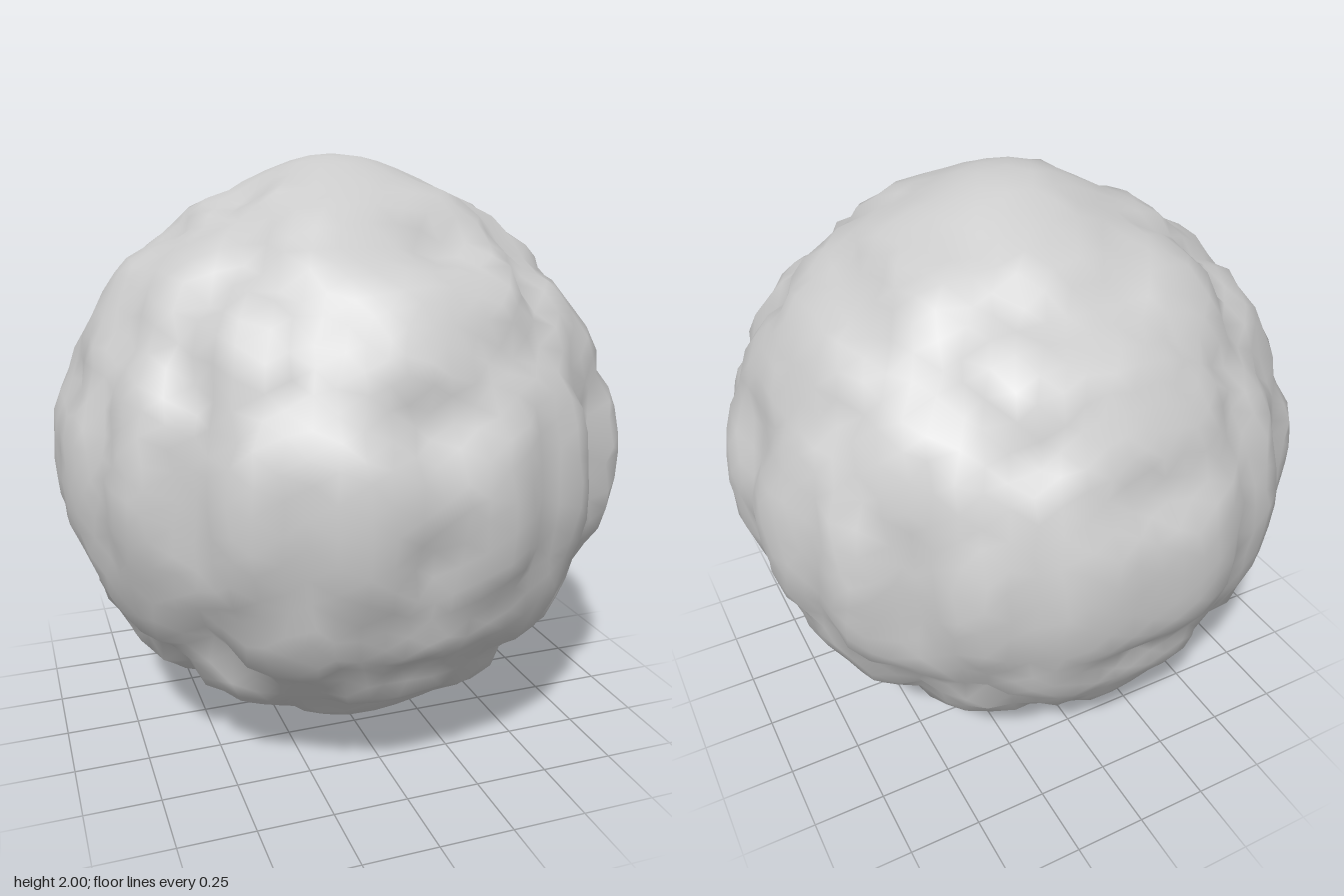
import * as THREE from 'three';
import { mergeVertices } from 'three/addons/utils/BufferGeometryUtils.js';

// quarter outlines, mirrored into all quadrants: [across, along]
const uprightOutline = [
  [0.97, 0], [0.97, 0.15], [0.92, 0.23], [0.86, 0.29], [0.86, 0.42], [0.78, 0.56],
  [0.72, 0.66], [0.52, 0.75], [0.47, 0.84], [0.3, 0.915], [0.07, 0.995], [0, 1],
];
const levelOutline = [
  [0.93, 0], [0.97, 0.17], [0.93, 0.32], [0.87, 0.38], [0.85, 0.53], [0.79, 0.6], [0.66, 0.61],
  [0.62, 0.68], [0.56, 0.82], [0.36, 0.87], [0.28, 0.95], [0.12, 0.97], [0, 0.95],
];

// radius where the ray towards (a, b) meets a quarter outline
function outlineRadius(outline, a, b) {
  const length = Math.hypot(a, b) || 1;
  const c = Math.abs(a) / length, s = Math.abs(b) / length;
  for (let i = 1; i < outline.length; i++) {
    const [x0, y0] = outline[i - 1], [x1, y1] = outline[i];
    if (s * x1 - c * y1 <= 1e-9) {
      return (x0 * y1 - x1 * y0) / (c * (y1 - y0) - s * (x1 - x0));
    }
  }
  return outline[outline.length - 1][1];
}

// seeded random numbers
function seeded(seed) {
  return () => {
    seed = (seed * 1664525 + 1013904223) % 4294967296;
    return seed / 4294967296;
  };
}

// directions of evenly spread, slightly shuffled lumps
function lumpDirections(count, rand) {
  const list = [];
  for (let i = 0; i < count; i++) {
    const y = 1 - (2 * (i + 0.5)) / count;
    const a = i * 2.39996;
    const r = Math.sqrt(1 - y * y);
    const jitter = new THREE.Vector3(rand() - 0.5, rand() - 0.5, rand() - 0.5).multiplyScalar(0.2);
    list.push(new THREE.Vector3(r * Math.cos(a), y, r * Math.sin(a)).add(jitter).normalize());
  }
  return list;
}

// local pits (negative) and knobs (positive): direction, height, angular width
const features = [
  [0, -0.14, 1, -0.06, 0.1], [0, -0.36, 0.9, 0.03, 0.16], [0, -0.55, 0.8, -0.04, 0.12],
  [0, 0.25, 0.95, -0.03, 0.1], [1, 0.2, 0, -0.05, 0.1], [1, -0.12, -0.07, -0.05, 0.1],
  [-0.35, 0.9, 0.1, -0.05, 0.12], [0.2, 0.8, 0.57, -0.06, 0.12], [-0.2, 0.85, 0.4, 0.02, 0.15],
].map(([x, y, z, height, width]) => ({ dir: new THREE.Vector3(x, y, z).normalize(), height, width }));

// rounded lumps parted by grooves
function lumpRadius(dir, lumps) {
  let nearest = 9, second = 9;
  for (const lump of lumps) {
    const d = dir.angleTo(lump);
    if (d < nearest) { second = nearest; nearest = d; }
    else if (d < second) second = d;
  }
  const groove = Math.max(0, 1 - (second - nearest) / 0.16);
  return 0.968 - 0.05 * groove - 0.2 * nearest * nearest;
}

// radius of the rock: lumps that settle into the outlines near the main planes
function rockRadius(dir, lumps, roughness) {
  const { x, y, z } = dir;
  const near = (offset, width) => Math.exp(-((offset / width) ** 2));
  const sections = [
    [near(z, 0.24), outlineRadius(uprightOutline, x, y)],
    [near(x, 0.24), outlineRadius(uprightOutline, z, y)],
    [near(y, 0.36), outlineRadius(levelOutline, x, z)],
  ];
  let total = 0, sum = 0, free = 1;
  for (const [weight, radius] of sections) {
    const w = weight ** 2;
    total += w;
    sum += w * radius;
    free *= 1 - weight;
  }
  let r = lumpRadius(dir, lumps) + roughness;
  if (total > 1e-6) r = THREE.MathUtils.lerp(sum / total, r, free);
  for (const f of features) {
    r += f.height * near(dir.angleTo(f.dir), f.width);
  }
  return r;
}

export function createModel() {
  const rand = seeded(17);
  const lumps = lumpDirections(64, rand);
  const sphere = new THREE.IcosahedronGeometry(1, 13);
  sphere.deleteAttribute('normal');
  sphere.deleteAttribute('uv');
  const geometry = mergeVertices(sphere, 1e-4);
  const position = geometry.attributes.position;
  const v = new THREE.Vector3();

  // push each vertex in or out, with a little irregularity in the mesh
  for (let i = 0; i < position.count; i++) {
    v.fromBufferAttribute(position, i);
    v.x += (rand() - 0.5) * 0.03;
    v.y += (rand() - 0.5) * 0.03;
    v.z += (rand() - 0.5) * 0.03;
    v.normalize();
    v.multiplyScalar(rockRadius(v, lumps, (rand() - 0.5) * 0.025));
    position.setXYZ(i, v.x, v.y, v.z);
  }

  // stand it on the ground
  geometry.translate(0, 1, 0);
  geometry.computeVertexNormals();

  const rock = new THREE.Mesh(geometry, new THREE.MeshStandardMaterial({ color: 0xcccccc }));
  rock.name = 'lumpyRock';
  const group = new THREE.Group();
  group.name = 'roundBoulder';
  group.add(rock);
  return group;
}
